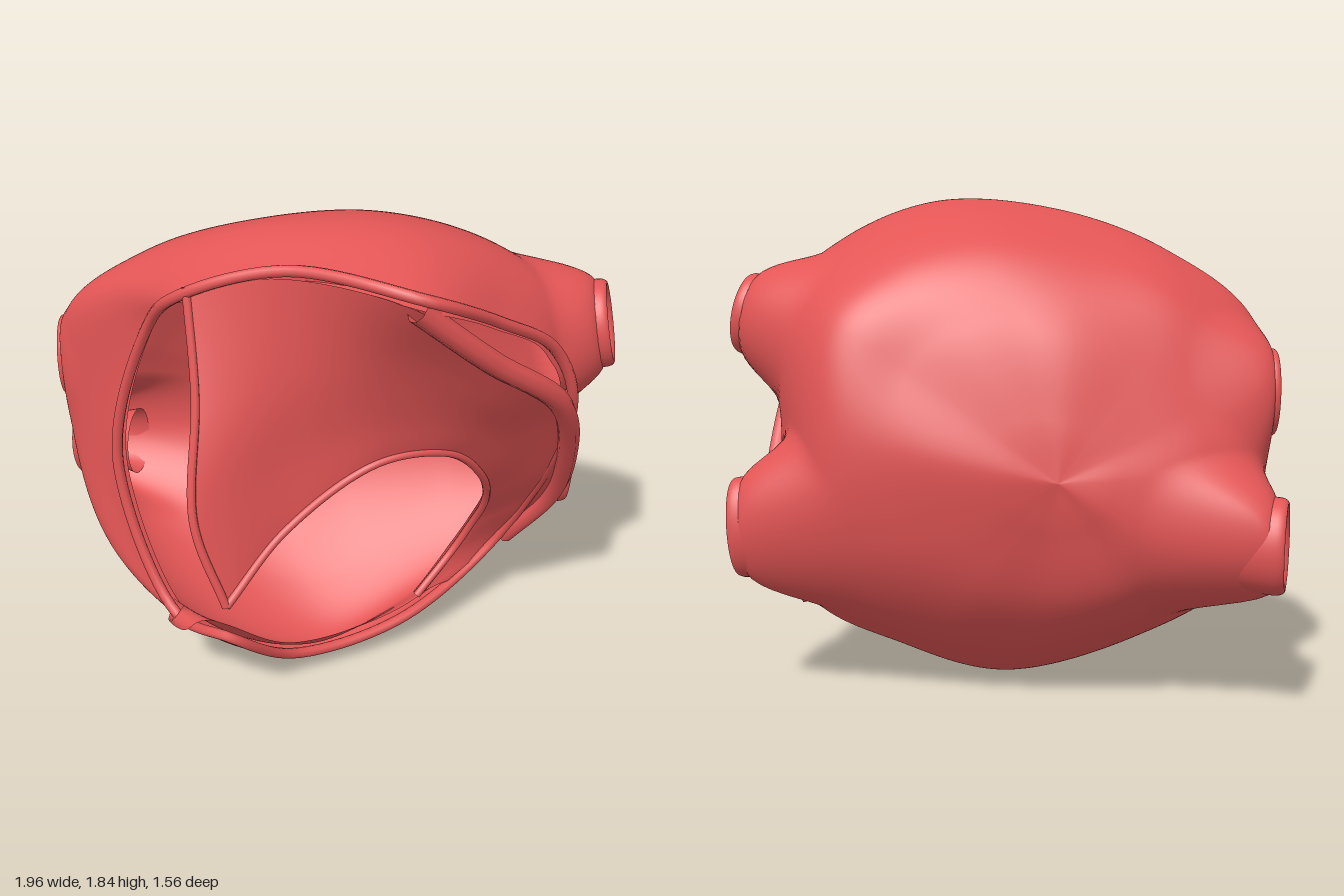
import * as THREE from 'three';

const V = (p) => new THREE.Vector3(...p);
const { smoothstep } = THREE.MathUtils;
const material = new THREE.MeshStandardMaterial({ color: 0xe35555, side: THREE.DoubleSide });

function addMesh(group, name, geometry) {
  const mesh = new THREE.Mesh(geometry, material);
  mesh.name = name;
  group.add(mesh);
}

// Smooth surface through rows of control points; shape(p) moves points, keep(p) cuts faces away
function loft(rows, nu, nv, closed, shape = (p) => p, keep = () => true) {
  const rowCurves = rows.map((r) => new THREE.CatmullRomCurve3(r.map(V), closed));
  const cols = closed ? nu : nu + 1;
  const pts = [], index = [];
  for (let i = 0; i < cols; i++) {
    const across = new THREE.CatmullRomCurve3(rowCurves.map((c) => c.getPoint(i / nu)));
    for (let j = 0; j <= nv; j++) pts.push(shape(across.getPoint(j / nv)));
  }
  const mid = new THREE.Vector3();
  const face = (a, b, c) => {
    mid.copy(pts[a]).add(pts[b]).add(pts[c]).divideScalar(3);
    if (keep(mid)) index.push(a, b, c);
  };
  for (let i = 0; i < nu; i++) {
    for (let j = 0; j < nv; j++) {
      const a = i * (nv + 1) + j, b = ((i + 1) % cols) * (nv + 1) + j;
      face(a, a + 1, b);
      face(b, a + 1, b + 1);
    }
  }
  const g = new THREE.BufferGeometry().setFromPoints(pts);
  g.setIndex(index);
  g.computeVertexNormals();
  return g;
}

// Inner face of a wall, offset along its normals
function lining(geometry, thickness) {
  const g = geometry.clone();
  const { position, normal } = g.attributes;
  for (let i = 0; i < position.count; i++) {
    position.setXYZ(i, position.getX(i) - normal.getX(i) * thickness,
      position.getY(i) - normal.getY(i) * thickness, position.getZ(i) - normal.getZ(i) * thickness);
  }
  return g;
}

// Chamber cross-sections, running from the front rim to the back wall
const rim = [
  [0.68, 1.18, 0.53], [0.57, 1.43, 0.58], [0.34, 1.59, 0.67], [0.05, 1.74, 0.76], [-0.3, 1.75, 0.45],
  [-0.61, 1.63, 0.27], [-0.7, 1.45, 0.09], [-0.83, 0.88, -0.03], [-0.69, 0.32, 0.18],
  [-0.54, 0.36, 0.43], [-0.25, 0.12, 0.3], [0.2, 0.14, 0.22], [0.62, 0.36, 0.1],
];
const widest = [
  [0.75, 1.02, 0.2], [0.75, 1.44, 0.34], [0.48, 1.69, 0.38], [0.12, 1.83, 0.35], [-0.3, 1.8, 0.15],
  [-0.66, 1.65, -0.08], [-0.94, 1.4, -0.24], [-0.97, 0.95, -0.28], [-0.88, 0.46, -0.13],
  [-0.55, 0.14, 0.1], [-0.12, 0.0, 0.15], [0.3, 0.14, 0.1], [0.7, 0.42, 0.03],
];
const shoulder = [
  [0.66, 1.0, -0.2], [0.59, 1.4, -0.15], [0.36, 1.59, -0.12], [0.05, 1.68, -0.14], [-0.3, 1.64, -0.22],
  [-0.6, 1.5, -0.36], [-0.83, 1.27, -0.44], [-0.86, 0.95, -0.52], [-0.8, 0.5, -0.46],
  [-0.5, 0.23, -0.25], [-0.1, 0.11, -0.1], [0.25, 0.23, -0.1], [0.62, 0.55, -0.17],
];
const backWall = [
  [0.4, 0.98, -0.36], [0.35, 1.25, -0.3], [0.2, 1.38, -0.31], [0, 1.42, -0.35], [-0.2, 1.39, -0.41],
  [-0.45, 1.28, -0.47], [-0.6, 1.12, -0.53], [-0.62, 0.9, -0.6], [-0.52, 0.62, -0.6],
  [-0.35, 0.46, -0.49], [-0.1, 0.41, -0.39], [0.15, 0.47, -0.35], [0.34, 0.68, -0.35],
];
const POLE = [-0.12, 0.88, -0.53];
const nearPole = backWall.map((p) => p.map((c, k) => c * 0.4 + POLE[k] * 0.6 - (k === 2 ? 0.018 : 0)));
const pole = rim.map(() => POLE);

// Side vessels: mouth centre, direction, outer radius, length, horizontal squash
const vessels = [
  { name: 'leftUpperVessel', tip: [0.86, 1.41, 0.4], dir: [0.85, 0.2, 0.45], r: 0.16, len: 0.22, squash: 0.85 },
  { name: 'leftLowerVessel', tip: [0.935, 0.65, 0.06], dir: [0.93, -0.05, 0.34], r: 0.19, len: 0.24, squash: 0.6 },
  { name: 'rightUpperVessel', tip: [-0.965, 1.15, -0.4], dir: [-0.95, 0, -0.25], r: 0.16, len: 0.12, squash: 0.75 },
  { name: 'rightLowerVessel', tip: [-0.9, 0.65, -0.67], dir: [-0.87, 0, -0.5], r: 0.175, len: 0.26, squash: 0.8 },
].map((v) => {
  const y = V(v.dir).normalize();
  const x = new THREE.Vector3(0, 1, 0).cross(y).normalize();
  const base = V(v.tip).addScaledVector(y, -v.len);
  const matrix = new THREE.Matrix4().makeBasis(x, y, x.clone().cross(y)).setPosition(base);
  return { ...v, axis: y, matrix, inverse: matrix.clone().invert() };
});

// Position in a vessel's own frame: height along it and distance from its axis in radii
const local = new THREE.Vector3();
function vesselCoords(v, p) {
  local.copy(p).applyMatrix4(v.inverse);
  return { height: local.y, d: Math.hypot(local.x / v.squash, local.z) / v.r };
}

// Draws the wall out into a soft flare around each vessel
function flare(p) {
  for (const v of vessels) {
    const { height, d } = vesselCoords(v, p);
    const w = (1 - smoothstep(d, 0.85, 1.9)) * smoothstep(height, -0.22, -0.06);
    p.addScaledVector(v.axis, Math.max(0, v.len * 0.85 - height) * w);
  }
  return p;
}

// True where the wall stays solid, false inside a vessel bore
const outsideVessels = (p) => vessels.every((v) => {
  const { height, d } = vesselCoords(v, p);
  return height < -0.06 || d > 0.85;
});

// Short tube with a rolled mouth
function vesselGeometry({ r, len, squash, matrix }) {
  const profile = [
    [0.93, 0.4], [0.97, 0.7], [0.98, 0.9], [0.91, 1], [0.78, 0.99],
    [0.68, 0.9], [0.65, 0.7], [0.7, 0.35], [0.8, 0.1],
  ].map(([a, b]) => new THREE.Vector2(a * r, b * len));
  const smooth = new THREE.SplineCurve(profile).getPoints(28);
  return new THREE.LatheGeometry(smooth, 40).scale(squash, 1, 1).applyMatrix4(matrix);
}

// Front wall: rows run from the upper ridge down to the arch over the opening
const frontWall = [
  [[-0.59, 1.66, 0.28], [-0.3, 1.73, 0.47], [0.03, 1.7, 0.74], [0.3, 1.47, 0.69], [0.6, 1.23, 0.59],
    [0.75, 0.87, 0.38], [0.78, 0.6, 0.21], [0.66, 0.36, 0.08], [0.4, 0.23, 0.16]],
  [[-0.6, 1.32, 0.4], [-0.3, 1.4, 0.47], [0.04, 1.45, 0.59], [0.33, 1.28, 0.59], [0.57, 1.1, 0.5],
    [0.69, 0.8, 0.34], [0.7, 0.57, 0.2], [0.6, 0.36, 0.1], [0.36, 0.23, 0.17]],
  [[-0.65, 0.93, 0.53], [-0.34, 1.08, 0.46], [0.03, 1.2, 0.5], [0.33, 1.11, 0.49], [0.52, 0.96, 0.42],
    [0.6, 0.74, 0.3], [0.59, 0.53, 0.18], [0.52, 0.37, 0.12], [0.31, 0.22, 0.18]],
  [[-0.57, 0.63, 0.61], [-0.33, 0.81, 0.48], [0, 1.02, 0.47], [0.27, 1.0, 0.44], [0.43, 0.84, 0.36],
    [0.5, 0.65, 0.25], [0.48, 0.48, 0.16], [0.42, 0.36, 0.14], [0.26, 0.21, 0.19]],
];

// Rounded edge following a line of points
function bead(points, radius, closed = false) {
  const curve = new THREE.CatmullRomCurve3(points.map(V), closed);
  return new THREE.TubeGeometry(curve, 140, radius, 8, closed);
}

export function createModel() {
  const group = new THREE.Group();
  group.name = 'hollowChamber';

  const sections = [rim, widest, shoulder, backWall, nearPole, pole];
  const shell = loft(sections, 240, 96, true, flare, outsideVessels);
  addMesh(group, 'chamberShell', shell);
  addMesh(group, 'chamberLining', lining(shell, 0.04));
  addMesh(group, 'chamberRim', bead(rim, 0.02, true));

  const front = loft(frontWall, 96, 36, false);
  addMesh(group, 'frontWall', front);
  addMesh(group, 'frontWallLining', lining(front, 0.03));
  addMesh(group, 'frontRidge', bead(frontWall[0].slice(2, 8), 0.04));
  addMesh(group, 'openingArch', bead(frontWall[3], 0.015));
  addMesh(group, 'flapEdge', bead(frontWall.map((row) => row[0]), 0.015));

  for (const v of vessels) addMesh(group, v.name, vesselGeometry(v));
  return group;
}
